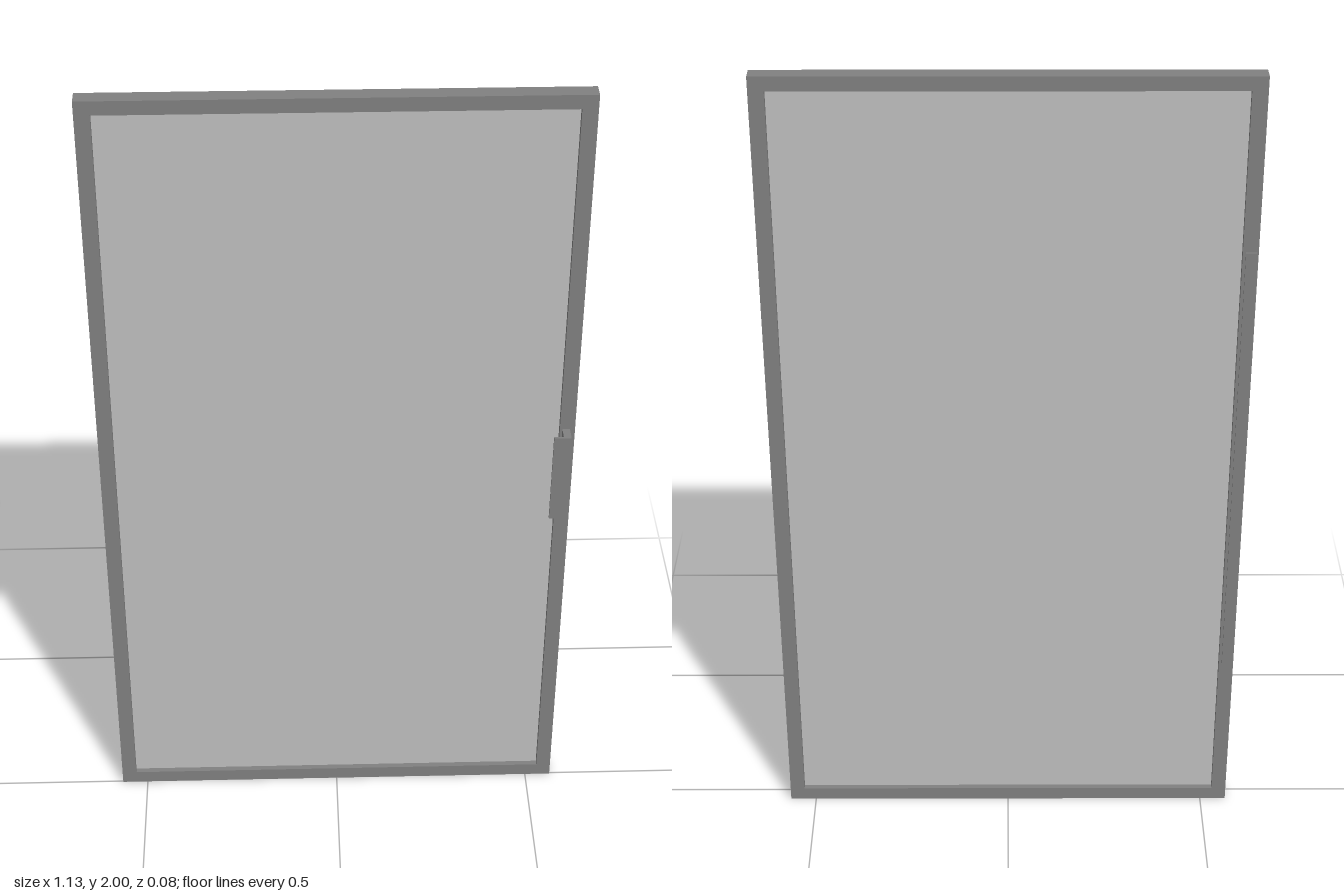
import * as THREE from 'three';

export function createModel() {
  const model = new THREE.Group();
  const frameGrey = new THREE.MeshStandardMaterial({ color: 0x808080 });
  frameGrey.name = 'frame grey';
  const paneGrey = new THREE.MeshStandardMaterial({ color: 0xbfbfbf });
  paneGrey.name = 'pane light grey';

  // Box given by its minimum and maximum corners
  function box(name, material, [x0, y0, z0], [x1, y1, z1], parent = model) {
    const mesh = new THREE.Mesh(new THREE.BoxGeometry(x1 - x0, y1 - y0, z1 - z0), material);
    mesh.position.set((x0 + x1) / 2, (y0 + y1) / 2, (z0 + z1) / 2);
    mesh.name = name;
    parent.add(mesh);
  }

  // Rectangular frame with an opening for the pane
  const W = 0.565, H = 2, side = 0.036, rail = 0.034, back = -0.037, front = 0.003;
  const rectangle = (path, x, y0, y1) =>
    path.moveTo(-x, y0).lineTo(x, y0).lineTo(x, y1).lineTo(-x, y1).closePath();
  const outline = rectangle(new THREE.Shape(), W, 0, H);
  outline.holes.push(rectangle(new THREE.Path(), W - side, rail, H - rail));
  const frame = new THREE.Mesh(
    new THREE.ExtrudeGeometry(outline, { depth: front - back, bevelEnabled: false }), frameGrey);
  frame.position.z = back;
  frame.name = 'doorFrame';
  model.add(frame);

  // Pane recessed from both faces
  box('pane', paneGrey, [-W + side, rail, -0.023], [W - side, H - rail, -0.011]);

  // L-shaped pull handle on the front
  const handle = new THREE.Group();
  handle.name = 'handle';
  model.add(handle);
  box('handleStem', frameGrey, [0.535, 0.885, front], [0.553, 1.122, 0.035], handle);
  box('handleGrip', frameGrey, [0.512, 0.885, 0.035], [0.553, 1.122, 0.041], handle);

  // Long thin strip on the back of the opposite stile
  box('backStrip', frameGrey, [-0.562, 0.43, -0.041], [-0.536, 1.578, back]);

  return model;
}
